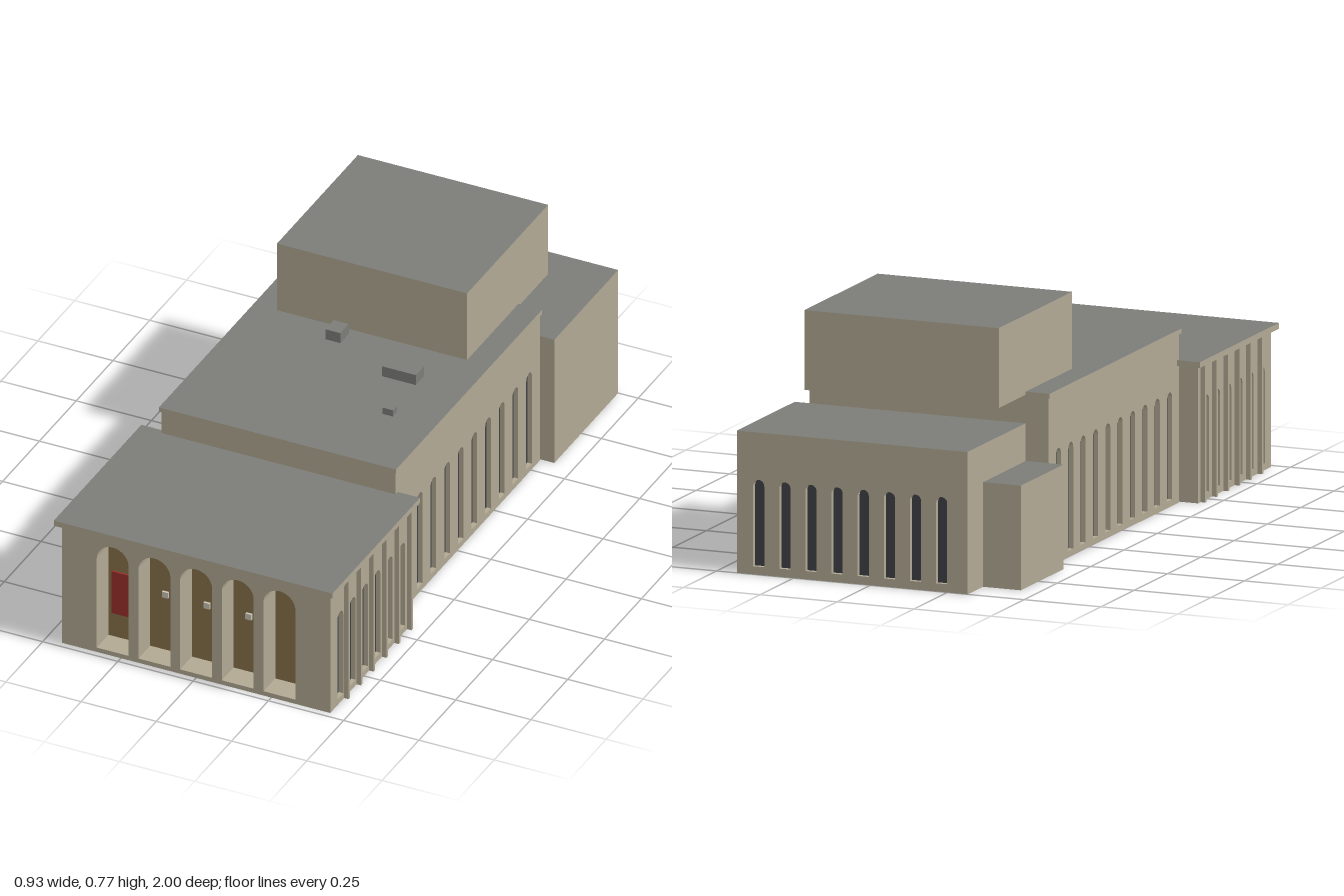
import * as THREE from 'three';

function material(name, color) {
  const m = new THREE.MeshStandardMaterial({ color, side: THREE.DoubleSide });
  m.name = name;
  return m;
}

export function createModel() {
  const stone = material('stone', 0xb2a994);
  const roof = material('roofGrey', 0x7c7d79);
  const wood = material('woodBrown', 0x87704a);
  const glass = material('darkGlass', 0x3f4047);
  const red = material('bannerRed', 0x99302b);
  const pale = material('paleSign', 0xc9c4b6);
  const model = new THREE.Group();
  model.name = 'building';

  const add = (parent, name, geometry, mat) => {
    const mesh = new THREE.Mesh(geometry, mat);
    mesh.name = name;
    parent.add(mesh);
    return mesh;
  };

  // box given by its limits on each axis
  const box = (name, [x0, x1], [y0, y1], [z0, z1], mat) => {
    const mesh = add(model, name, new THREE.BoxGeometry(x1 - x0, y1 - y0, z1 - z0), mat);
    mesh.position.set((x0 + x1) / 2, (y0 + y1) / 2, (z0 + z1) / 2);
    return mesh;
  };
  const slabFaces = [stone, stone, roof, roof, stone, stone];

  // round-headed outline, used both as a hole and as the panel behind it
  const archPath = (path, u, { width, bottom, top }) => {
    const r = width / 2;
    path.moveTo(u - r, bottom);
    path.lineTo(u + r, bottom);
    path.lineTo(u + r, top - r);
    path.absarc(u, top - r, r, 0, Math.PI, false);
    path.closePath();
    return path;
  };

  // reveal running back from the edge of an opening
  const revealGeometry = (points, depth) => {
    const pos = [];
    points.forEach((a, i) => {
      const b = points[(i + 1) % points.length];
      pos.push(a.x, a.y, 0, a.x, a.y, -depth, b.x, b.y, -depth);
      pos.push(a.x, a.y, 0, b.x, b.y, -depth, b.x, b.y, 0);
    });
    const g = new THREE.BufferGeometry();
    g.setAttribute('position', new THREE.Float32BufferAttribute(pos, 3));
    g.computeVertexNormals();
    return g;
  };

  // wall facing local +z, pierced by a row of recessed arched openings
  const wall = (name, width, height, row) => {
    const group = new THREE.Group();
    group.name = name;
    const shape = new THREE.Shape([
      new THREE.Vector2(-width / 2, 0), new THREE.Vector2(width / 2, 0),
      new THREE.Vector2(width / 2, height), new THREE.Vector2(-width / 2, height),
    ]);
    for (const u of row ? row.at : []) {
      const hole = archPath(new THREE.Path(), u, row);
      shape.holes.push(hole);
      const points = hole.getPoints(row.segments);
      if (points[0].distanceTo(points[points.length - 1]) < 1e-6) points.pop();
      add(group, 'reveal', revealGeometry(points, row.depth), stone);
      const panel = new THREE.ShapeGeometry(archPath(new THREE.Shape(), u, row), row.segments);
      add(group, row.name, panel, row.mat).position.z = -row.depth;
    }
    add(group, 'wallFace', new THREE.ShapeGeometry(shape, row ? row.segments : 1), stone);
    model.add(group);
    return group;
  };

  // four walls of an open-bottomed volume; rows are given in world x or z
  const walls = (name, [x0, x1], [z0, z1], height, { front, back, sides } = {}) => {
    const cx = (x0 + x1) / 2, cz = (z0 + z1) / 2;
    const local = (row, f) => row && { ...row, at: row.at.map(f) };
    const place = (side, width, row, x, z, turn) => {
      const g = wall(name + side, width, height, row);
      g.position.set(x, 0, z);
      g.rotation.y = turn;
    };
    place('Front', x1 - x0, local(front, x => x - cx), cx, z1, 0);
    place('Back', x1 - x0, local(back, x => cx - x), cx, z0, Math.PI);
    place('Left', z1 - z0, local(sides, z => cz - z), x1, cz, Math.PI / 2);
    place('Right', z1 - z0, local(sides, z => z - cz), x0, cz, -Math.PI / 2);
  };
  const series = (n, start, step) => Array.from({ length: n }, (_, i) => start + i * step);
  const windows = (at, width, bottom, top) =>
    ({ name: 'window', at, width, bottom, top, depth: 0.015, segments: 6, mat: glass });

  // entrance block with a deep arcade
  const arches = series(5, -0.277, 0.1385);
  walls('entrance', [-0.446, 0.446], [0.43, 0.98], 0.42, {
    front: {
      name: 'door', at: arches, width: 0.106, bottom: 0.015, top: 0.383,
      depth: 0.08, segments: 20, mat: wood,
    },
    sides: windows(series(6, 0.912, -0.0838), 0.04, 0.02, 0.32),
  });
  box('entranceRoof', [-0.463, 0.463], [0.42, 0.438], [0.405, 1], slabFaces);

  // thin fins between the entrance side windows
  for (const side of [-1, 1]) {
    for (const z of series(6, 0.882, -0.0855)) {
      const fin = box('fin', [-0.0075, 0.0075], [0, 0.42], [z - 0.005, z + 0.005], stone);
      fin.position.x = side * 0.4535;
    }
  }

  // banner and small signs on the doors
  box('banner', [-0.317, -0.24], [0.1, 0.247], [0.901, 0.907], red);
  for (const x of arches.slice(1, 4)) {
    box('sign', [x - 0.01, x + 0.01], [0.203, 0.223], [0.901, 0.909], pale);
  }

  // main hall
  walls('hall', [-0.389, 0.389], [-0.56, 0.42], 0.516, {
    sides: windows(series(10, 0.349, -0.0928), 0.038, 0.02, 0.35),
  });
  box('hallRoof', [-0.394, 0.394], [0.516, 0.531], [-0.563, 0.427], slabFaces);

  // upper tower, overhanging the rear wing
  box('tower', [-0.316, 0.316], [0.522, 0.766], [-0.765, -0.215],
    [stone, stone, roof, stone, stone, stone]);

  // rear wing and its lower annex
  walls('rearWing', [-0.316, 0.434], [-1, -0.566], 0.435, {
    back: windows(series(8, 0.363, -0.085), 0.036, 0.025, 0.29),
  });
  walls('annex', [-0.44, -0.317], [-0.885, -0.566], 0.32);
  const flatRoof = (name, [x0, x1], y, [z0, z1]) => {
    const top = add(model, name, new THREE.PlaneGeometry(x1 - x0, z1 - z0), roof);
    top.rotation.x = -Math.PI / 2;
    top.position.set((x0 + x1) / 2, y, (z0 + z1) / 2);
  };
  flatRoof('rearWingRoof', [-0.316, 0.434], 0.435, [-1, -0.566]);
  flatRoof('annexRoof', [-0.44, -0.317], 0.32, [-0.885, -0.566]);

  // rooftop equipment
  box('roofUnit', [-0.115, -0.065], [0.531, 0.566], [-0.19, -0.133], roof);
  box('roofUnit', [0.127, 0.24], [0.531, 0.566], [-0.077, -0.022], roof);
  box('roofUnit', [0.222, 0.256], [0.531, 0.553], [0.138, 0.166], roof);

  return model;
}
